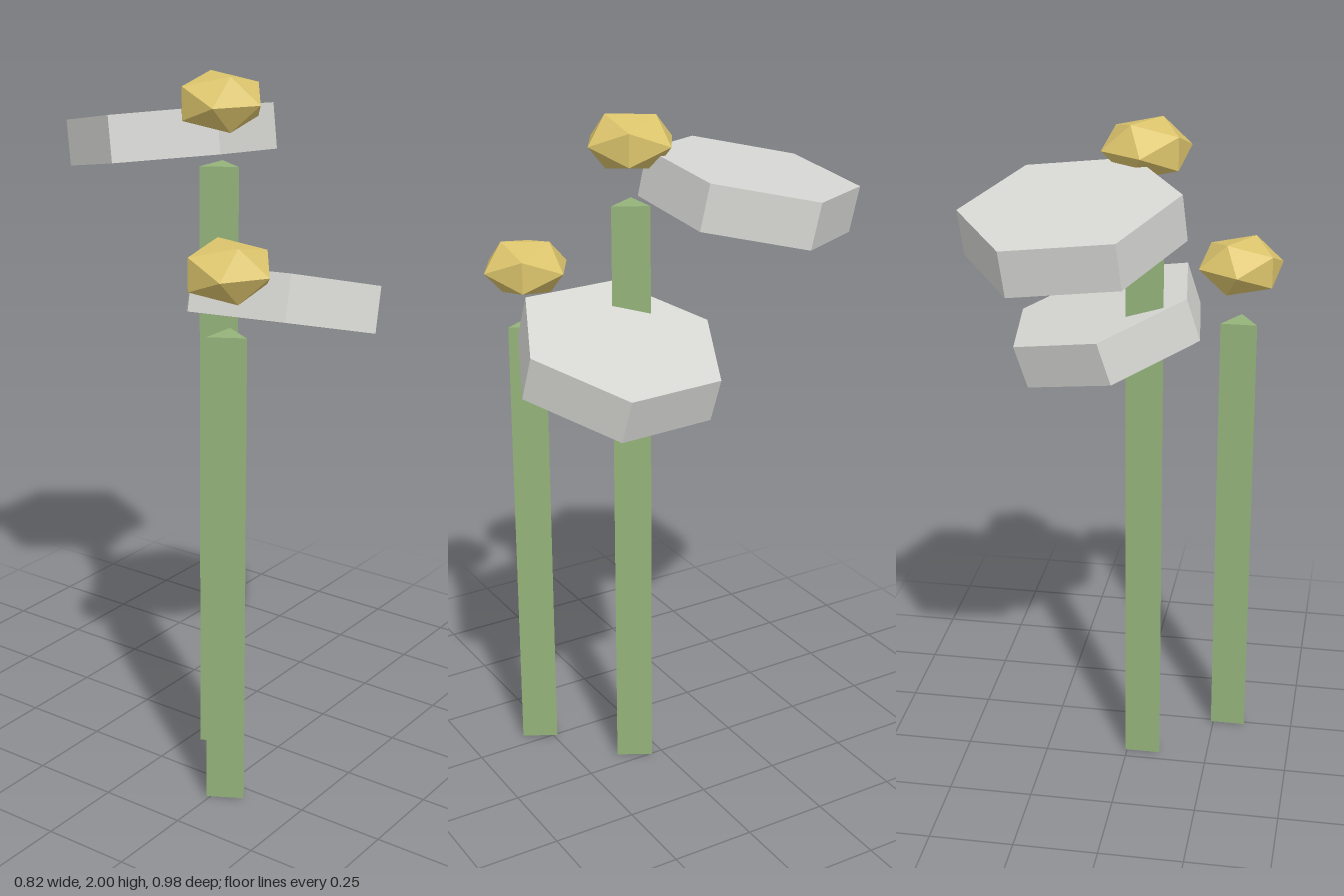
import * as THREE from 'three';

const flat = (name, color) => {
  const m = new THREE.MeshStandardMaterial({ color, flatShading: true });
  m.name = name;
  return m;
};

export function createModel() {
  const green = flat('stem green', 0x94b27a);
  const grey = flat('pad grey', 0xd6d6d3);
  const gold = flat('bloom gold', 0xdcc46c);
  const model = new THREE.Group();
  model.name = 'floatingPlant';

  const add = (name, geometry, material, parent = model) => {
    const mesh = new THREE.Mesh(geometry, material);
    mesh.name = name;
    parent.add(mesh);
    return mesh;
  };

  // Three-sided stem with one edge to the front, and a squashed bloom floating above it
  const addFlower = (name, x, z, height) => {
    const group = new THREE.Group();
    group.name = name;
    group.position.set(x, 0, z);
    model.add(group);
    add('stem', new THREE.CylinderGeometry(0.062, 0.062, height, 3), green, group)
      .position.y = height / 2;
    // Turn two opposite corners onto the z axis before flattening
    const bloom = new THREE.IcosahedronGeometry(0.131, 0)
      .rotateX(Math.atan(2 / (1 + Math.sqrt(5))))
      .rotateZ(-Math.PI / 2)
      .scale(1, 0.667, 1);
    add('bloom', bloom, gold, group).position.y = height + 0.171;
  };
  addFlower('tallFlower', -0.049, 0.067, 1.755);
  addFlower('shortFlower', -0.296, 0.27, 1.369);

  // Tilted hexagonal pad, set by its top centre, its normal and one corner direction
  const addPad = (name, top, normal, corner) => {
    const thickness = 0.131;
    const yAxis = new THREE.Vector3(...normal).normalize();
    const xAxis = new THREE.Vector3().crossVectors(yAxis, new THREE.Vector3(...corner)).normalize();
    const zAxis = new THREE.Vector3().crossVectors(xAxis, yAxis);
    const pad = add(name, new THREE.CylinderGeometry(0.298, 0.298, thickness, 6), grey);
    pad.quaternion.setFromRotationMatrix(new THREE.Matrix4().makeBasis(xAxis, yAxis, zAxis));
    pad.position.set(...top).addScaledVector(yAxis, -thickness / 2);
  };
  addPad('lowerPad', [0.0975, 1.43, 0.1815], [0.305, 1, -0.0705], [0.0355, 0.01, 0.2955]);
  addPad('upperPad', [0.1115, 1.85, -0.2285], [0.0926, 1, -0.1716], [0.2965, -0.03, -0.0145]);

  return model;
}
